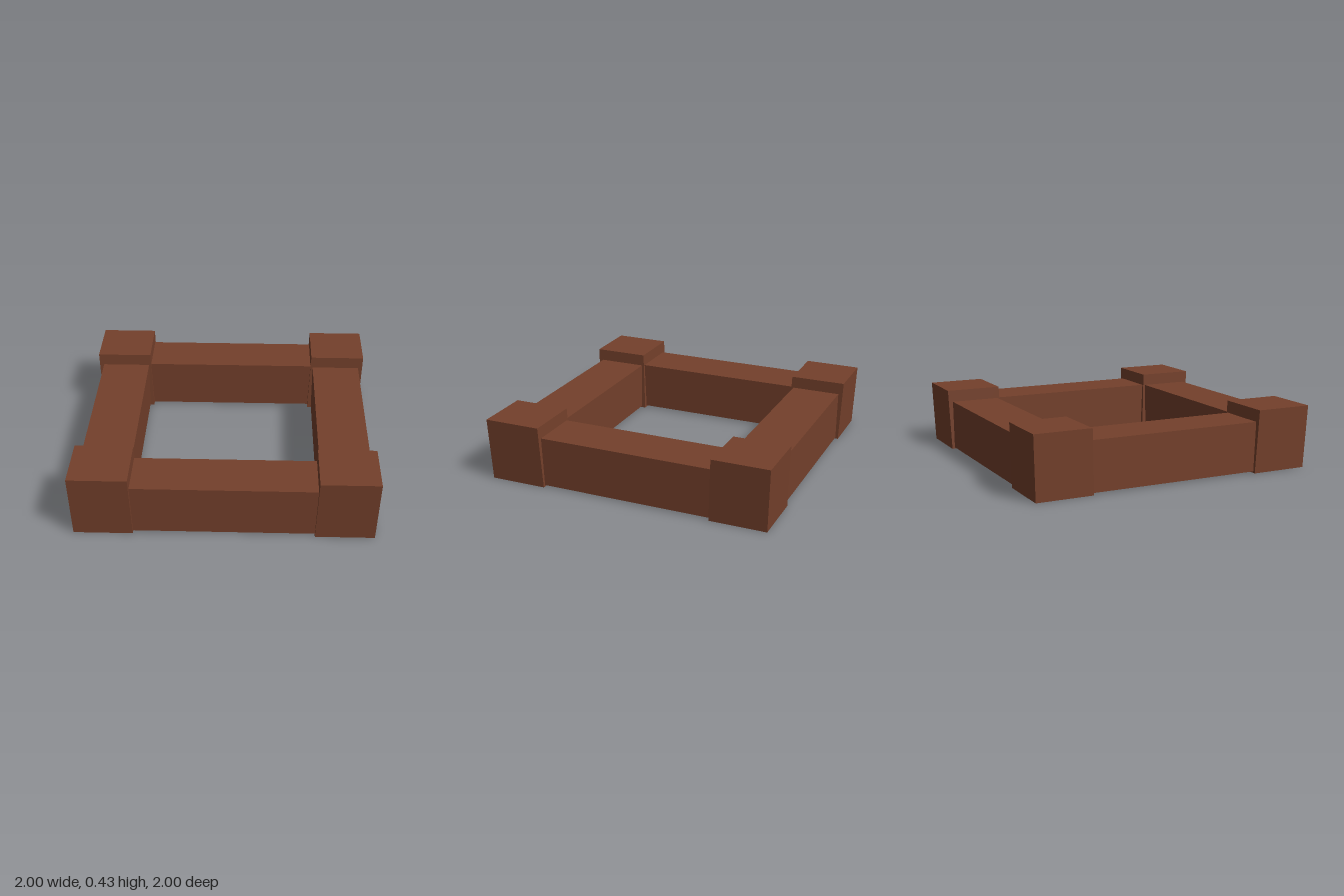
import * as THREE from 'three';

const terracotta = new THREE.MeshStandardMaterial({ color: 0x74402b, side: THREE.DoubleSide });
terracotta.name = 'terracotta brown';

// Box that keeps only the listed faces (0 +x, 1 -x, 2 +y, 3 -y, 4 +z, 5 -z)
function shell(w, h, d, faces) {
  const geometry = new THREE.BoxGeometry(w, h, d);
  const index = Array.from(geometry.index.array);
  geometry.setIndex(faces.flatMap((f) => index.slice(f * 6, f * 6 + 6)));
  geometry.clearGroups();
  return geometry;
}

// Hollow corner post, open below, leaning outward towards its top
function postGeometry() {
  const height = 0.43, size = 0.39, lean = 0.016;
  const geometry = shell(size, height, size, [0, 1, 2, 4, 5]);
  geometry.translate(0.789, height / 2, 0.789);
  const p = geometry.attributes.position;
  for (let i = 0; i < p.count; i++) {
    const shift = lean * (p.getY(i) / height);
    p.setX(i, p.getX(i) + shift);
    p.setZ(i, p.getZ(i) + shift);
  }
  geometry.computeVertexNormals();
  return geometry;
}

// Hollow rail between two posts, open below and at its ends
function railGeometry() {
  const geometry = shell(1.216, 0.337, 0.343, [2, 4, 5]);
  geometry.translate(0, 0.01 + 0.337 / 2, 0.794);
  return geometry;
}

export function createModel() {
  const model = new THREE.Group();
  model.name = 'squareFrame';
  const post = postGeometry();
  const rail = railGeometry();

  // One post and one rail per quarter turn
  for (let i = 0; i < 4; i++) {
    const side = new THREE.Group();
    side.name = `side${i + 1}`;
    for (const [name, geometry] of [['cornerPost', post], ['rail', rail]]) {
      const mesh = new THREE.Mesh(geometry, terracotta);
      mesh.name = name;
      side.add(mesh);
    }
    side.rotation.y = (i * Math.PI) / 2;
    model.add(side);
  }
  return model;
}
